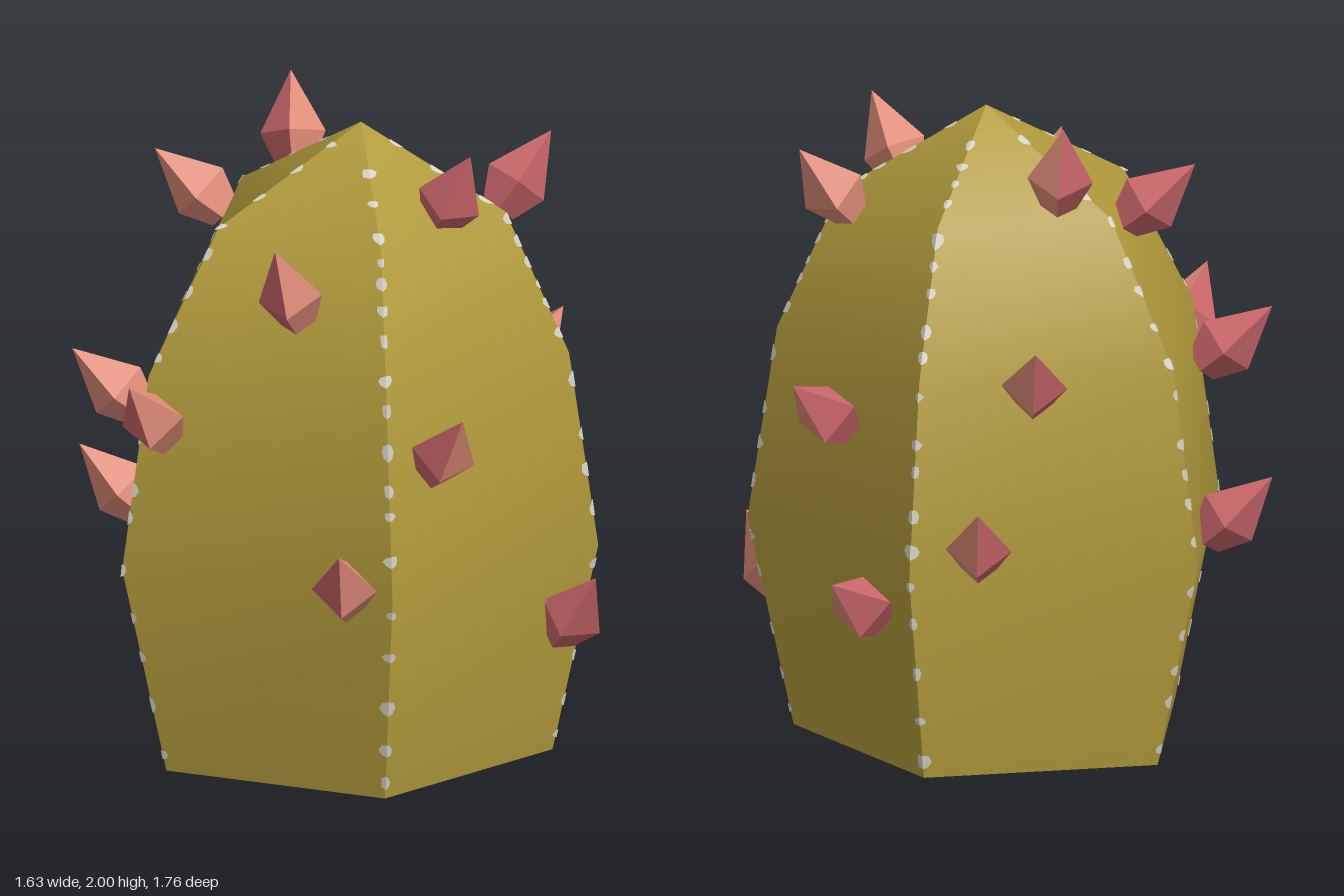
import * as THREE from 'three';

const bodyMat = new THREE.MeshStandardMaterial({ color: 0xb29b3c, side: THREE.DoubleSide });
bodyMat.name = 'olive skin';
const salmonMat = new THREE.MeshStandardMaterial({ color: 0xdf8c78 });
salmonMat.name = 'salmon';
const roseMat = new THREE.MeshStandardMaterial({ color: 0xc9666a });
roseMat.name = 'rose';
const spotMat = new THREE.MeshStandardMaterial({ color: 0xd4d2c4, side: THREE.DoubleSide });
spotMat.name = 'pale grey';

// Five-sided plan, and rings as [y, centre x, centre z, scale x, scale z]
const plan = [[0.77, -0.01], [0.23, 0.72], [-0.63, 0.443], [-0.63, -0.467], [0.23, -0.7]];
const rings = [
  [0, 0.026, -0.036, 0.81, 0.84],
  [0.65, 0.02, -0.03, 1, 1],
  [1.25, 0.021, -0.037, 0.882, 0.915],
  [1.69, 0.043, -0.038, 0.6, 0.627],
  [1.96, 0.065, -0.035, 0, 0],
];

// Spikes as [tip, base]
const spikes = [
  [[0.03, 0.9, -0.885], [0.04, 0.69, -0.70]],
  [[-0.14, 1.39, -0.81], [-0.12, 1.18, -0.61]],
  [[0.48, 0.65, -0.8], [0.35, 0.48, -0.58]],
  [[0.61, 1.23, -0.64], [0.45, 1.03, -0.45]],
  [[0.615, 1.88, -0.295], [0.47, 1.66, -0.2]],
  [[0.81, 0.61, 0.19], [0.69, 0.4, 0.07]],
  [[0.43, 1.93, 0.21], [0.34, 1.73, 0.13]],
  [[0.47, 1.24, 0.73], [0.36, 1.03, 0.57]],
  [[0.11, 0.84, 0.88], [0.11, 0.63, 0.68]],
  [[-0.12, 1.72, 0.6], [-0.06, 1.45, 0.47]],
  [[-0.56, 1.29, 0.65], [-0.47, 1.08, 0.47]],
  [[-0.79, 1.28, 0.19], [-0.59, 1.1, 0.19]],
  [[-0.82, 0.86, -0.235], [-0.63, 0.67, -0.22]],
  [[-0.58, 1.82, -0.16], [-0.38, 1.64, -0.15]],
  [[-0.2, 2.0, -0.45], [-0.18, 1.76, -0.36]],
];

let seed = 11;
const rand = () => (seed = (seed * 16807) % 2147483647) / 2147483647;

// Point on ridge i at a fractional ring position t
function ridgePoint(i, t) {
  const k = Math.min(Math.floor(t), rings.length - 2);
  const at = ([y, cx, cz, sx, sz]) => {
    const [x, z] = plan[(i + 5) % 5];
    return new THREE.Vector3(cx + x * sx, y, cz + z * sz);
  };
  return at(rings[k]).lerp(at(rings[k + 1]), t - k);
}

// One side of the body: smooth up its height, sharp against its neighbours
function panel(i) {
  const pos = [], index = [];
  rings.forEach((_, k) => {
    pos.push(...ridgePoint(i, k).toArray(), ...ridgePoint(i + 1, k).toArray());
    if (k === rings.length - 1) return;
    const a = 2 * k;
    index.push(a, a + 2, a + 1);
    if (k < rings.length - 2) index.push(a + 1, a + 2, a + 3);
  });
  // The collapsed top ring uses one shared apex
  const g = new THREE.BufferGeometry();
  g.setAttribute('position', new THREE.Float32BufferAttribute(pos, 3));
  g.setIndex(index);
  g.computeVertexNormals();
  return new THREE.Mesh(g, bodyMat);
}

// Small irregular spots folded over one ridge
function ridgeSpots(i) {
  const pos = [];
  for (let t = 0.08; t < 3.85; t += 0.13 + rand() * 0.16) {
    const p = ridgePoint(i, t);
    const up = ridgePoint(i, t + 0.02).sub(p).normalize();
    const next = ridgePoint(i + 1, t).sub(p).normalize();
    const prev = ridgePoint(i - 1, t).sub(p).normalize();
    const out = next.clone().add(prev).normalize().multiplyScalar(-0.004);
    p.add(out);
    const h = 0.014 + rand() * 0.012, w = 0.014 + rand() * 0.014;
    const rim = [];
    for (let k = 0; k < 8; k++) {
      const a = k * Math.PI / 4, r = 0.8 + rand() * 0.4;
      const side = Math.sin(a);
      rim.push(p.clone().addScaledVector(up, Math.cos(a) * h * r)
        .addScaledVector(side > 0 ? next : prev, Math.abs(side) * w * r));
    }
    rim.forEach((v, k) => pos.push(...p.toArray(), ...v.toArray(), ...rim[(k + 1) % 8].toArray()));
  }
  const g = new THREE.BufferGeometry();
  g.setAttribute('position', new THREE.Float32BufferAttribute(pos, 3));
  g.computeVertexNormals();
  return new THREE.Mesh(g, spotMat);
}

// Half of a four-sided, faceted spike
function halfSpike(start) {
  const profile = [[0, 0], [0.055, 0], [0.1, 0.1], [0, 0.29]].map(p => new THREE.Vector2(...p));
  const g = new THREE.LatheGeometry(profile, 2, start, Math.PI).toNonIndexed();
  g.computeVertexNormals();
  return g;
}

export function createModel() {
  const model = new THREE.Group();
  model.name = 'cactus';

  const body = new THREE.Group();
  body.name = 'body';
  const spots = new THREE.Group();
  spots.name = 'ridgeSpots';
  for (let i = 0; i < 5; i++) {
    const side = panel(i);
    side.name = 'bodySide' + (i + 1);
    body.add(side);
    const row = ridgeSpots(i);
    row.name = 'spotRow' + (i + 1);
    spots.add(row);
  }
  model.add(body, spots);

  // Two-tone spikes, pointing outward and up
  const salmonHalf = halfSpike(-Math.PI / 2), roseHalf = halfSpike(Math.PI / 2);
  spikes.forEach(([tip, base], n) => {
    const end = new THREE.Vector3(...tip);
    const dir = end.clone().sub(new THREE.Vector3(...base)).normalize();
    const facing = Math.abs(tip[2]) > Math.abs(tip[0])
      ? new THREE.Vector3(1, 0, 0) : new THREE.Vector3(0, 0, tip[0] < 0 ? 1 : -1);
    const z = facing.addScaledVector(dir, -facing.dot(dir)).normalize();
    const x = dir.clone().cross(z);
    const spike = new THREE.Group();
    spike.name = 'spike' + (n + 1);
    spike.quaternion.setFromRotationMatrix(new THREE.Matrix4().makeBasis(x, dir, z));
    spike.position.copy(end).addScaledVector(dir, -0.29);
    const light = new THREE.Mesh(salmonHalf, salmonMat);
    light.name = 'spikeLightHalf';
    const dark = new THREE.Mesh(roseHalf, roseMat);
    dark.name = 'spikeDarkHalf';
    spike.add(light, dark);
    model.add(spike);
  });
  return model;
}
